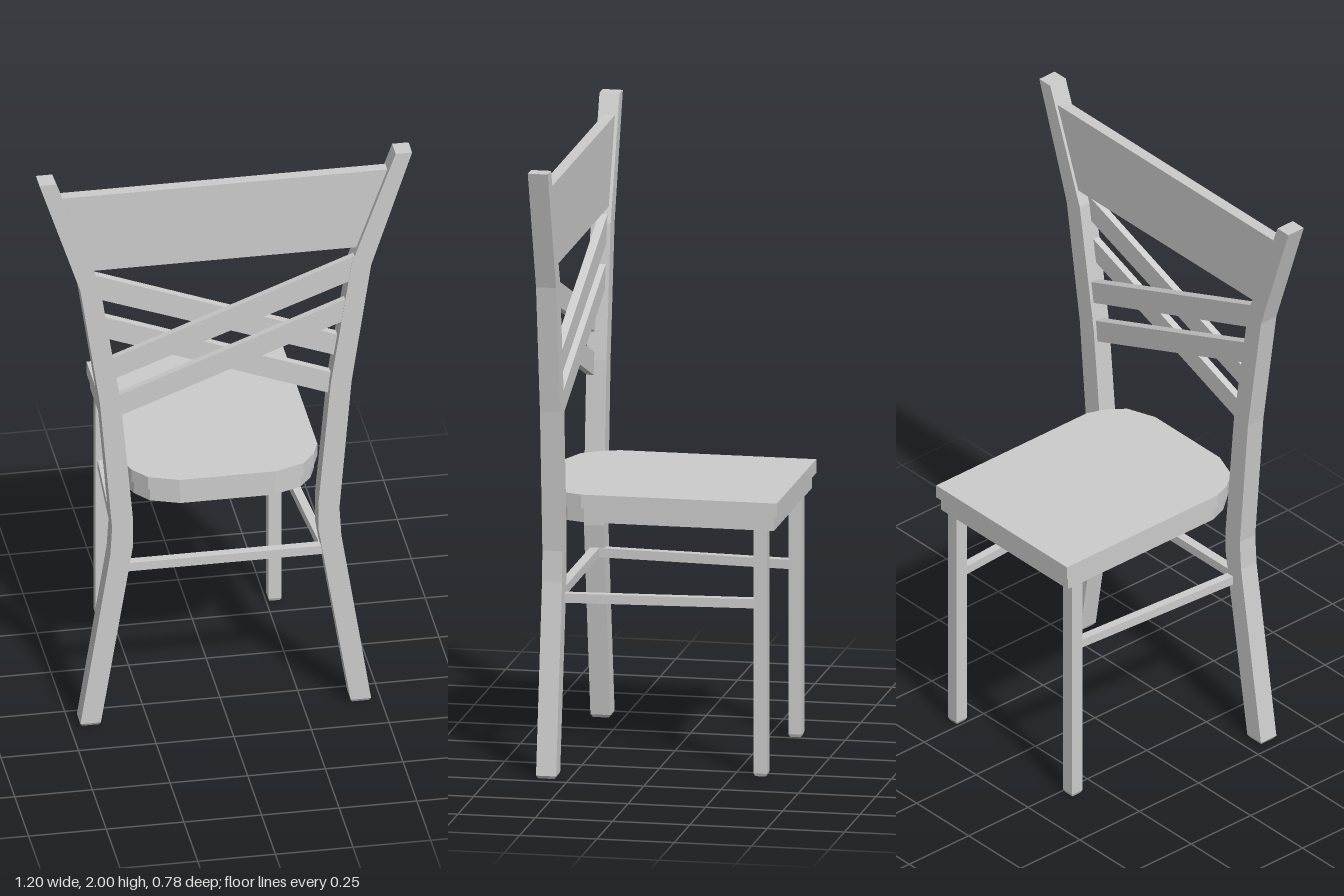
import * as THREE from 'three';

const material = new THREE.MeshStandardMaterial({ color: 0xcccccc, flatShading: true });

const toShape = (points) => new THREE.Shape(points.map(([x, y]) => new THREE.Vector2(x, y)));

const mirrorX = (points) => points.map(([x, y]) => [-x, y]);

export function createModel() {
  const chair = new THREE.Group();
  chair.name = 'chair';

  const add = (name, geometry) => {
    const mesh = new THREE.Mesh(geometry, material);
    mesh.name = name;
    chair.add(mesh);
    return mesh;
  };

  // Board drawn in the x-y plane, running from z0 to z1
  const board = (name, points, z0, z1) => {
    const geometry = new THREE.ExtrudeGeometry(toShape(points), { depth: z1 - z0, bevelEnabled: false });
    add(name, geometry.translate(0, 0, z0));
  };

  // Slab drawn in plan (x, z), running from y0 to y1
  const slab = (name, points, y0, y1) => {
    const geometry = new THREE.ExtrudeGeometry(toShape(points), { depth: y1 - y0, bevelEnabled: false });
    add(name, geometry.rotateX(Math.PI / 2).translate(0, y1, 0));
  };

  // Chamfered tip under a leg
  const foot = (name, x, z, width, depth) => {
    const geometry = new THREE.CylinderGeometry(Math.SQRT1_2, 0.8 * Math.SQRT1_2, 0.01, 4);
    geometry.rotateY(Math.PI / 4).scale(width, 1, depth);
    add(name, geometry.translate(x, 0.005, z));
  };

  // Seat: straight sides, corners cut in stages towards the backrest
  const seatHalf = [[0.315, -0.393], [0.315, 0.24], [0.293, 0.3], [0.25, 0.355], [0.155, 0.39]];
  const seat = [...seatHalf, ...mirrorX(seatHalf).reverse()];
  slab('seat', seat, 0.85, 0.895);
  slab('seatApron', seat.map(([x, z]) => [x * 0.97, z * 0.97]), 0.803, 0.85);

  // Curved back posts, from foot to top: outer edge up, inner edge down
  const post = [
    [0.468, 0.01], [0.372, 0.62], [0.366, 0.72], [0.405, 1.18], [0.468, 1.6], [0.6, 2],
    [0.547, 2], [0.405, 1.61], [0.338, 1.18], [0.298, 0.74], [0.298, 0.65], [0.402, 0.01],
  ];

  for (const side of [1, -1]) {
    const label = side > 0 ? 'left' : 'right';
    const sided = (points) => (side > 0 ? points : mirrorX(points));

    board(label + 'BackPost', sided(post), 0.29, 0.355);
    foot(label + 'BackFoot', side * 0.435, 0.3225, 0.066, 0.065);

    // Slim front leg
    const leg = new THREE.BoxGeometry(0.043, 0.8, 0.043);
    add(label + 'FrontLeg', leg.translate(side * 0.278, 0.41, -0.336));
    foot(label + 'FrontFoot', side * 0.278, -0.336, 0.043, 0.043);

    // Side stretcher, slightly splayed to meet the post
    slab(label + 'Stretcher', sided([[0.264, -0.33], [0.292, -0.33], [0.335, 0.31], [0.307, 0.31]]), 0.545, 0.575);

    // Pair of crossing slats, one direction in front of the other
    const [z0, z1] = side > 0 ? [0.33, 0.353] : [0.302, 0.33];
    board(label + 'UpperSlat', sided([[-0.375, 1.26], [0.42, 1.555], [0.43, 1.643], [-0.375, 1.337]]), z0, z1);
    board(label + 'LowerSlat', sided([[-0.35, 1.125], [0.385, 1.405], [0.4, 1.487], [-0.355, 1.2]]), z0, z1);
  }

  // Wide top rail and the rail between the back posts
  board('topRail', [[-0.435, 1.66], [0.435, 1.66], [0.53, 1.935], [-0.53, 1.935]], 0.3, 0.337);
  add('backStretcher', new THREE.BoxGeometry(0.64, 0.03, 0.03).translate(0, 0.56, 0.3225));

  return chair;
}
